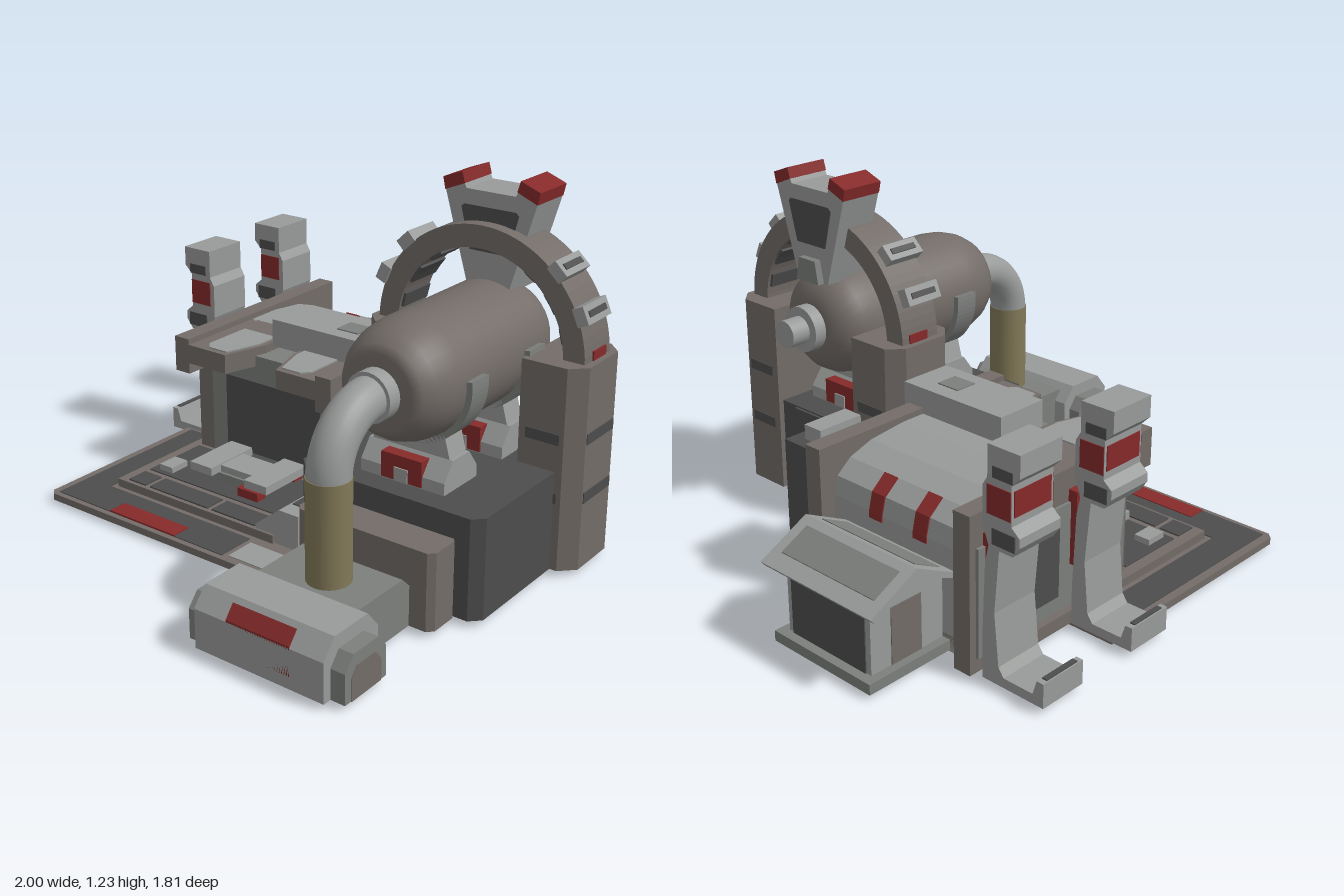
import * as THREE from 'three';

const mat = (name, color) => {
  const m = new THREE.MeshStandardMaterial({ color });
  m.name = name;
  return m;
};

export function createModel() {
  const root = new THREE.Group();
  root.name = 'industrialPlant';
  const brown = mat('warmGrey', 0x736c68), dark = mat('darkGrey', 0x4d4d4d), mid = mat('midGrey', 0x7d7f7d),
    light = mat('lightGrey', 0x989b99), red = mat('red', 0x862a2a), tan = mat('tan', 0x827958);

  const add = (name, geo, m) => {
    const mesh = new THREE.Mesh(geo, m);
    mesh.name = name;
    root.add(mesh);
    return mesh;
  };
  // Box from its limits
  const box = (name, m, x0, x1, y0, y1, z0, z1) =>
    add(name, new THREE.BoxGeometry(x1 - x0, y1 - y0, z1 - z0)
      .translate((x0 + x1) / 2, (y0 + y1) / 2, (z0 + z1) / 2), m);
  const extrude = (shape, depth) => new THREE.ExtrudeGeometry(shape, { depth, bevelEnabled: false, curveSegments: 20 });
  const poly = (pts) => new THREE.Shape(pts.map(([a, b]) => new THREE.Vector2(a, b)));
  // Prisms: outline in (z, y) along x, in (x, z) along y, in (x, y) along z
  const prismX = (name, m, pts, x0, x1) =>
    add(name, extrude(poly(pts.map(([z, y]) => [-z, y])), x1 - x0).rotateY(Math.PI / 2).translate(x0, 0, 0), m);
  const prismY = (name, m, pts, y0, y1) =>
    add(name, extrude(poly(pts.map(([x, z]) => [x, -z])), y1 - y0).rotateX(-Math.PI / 2).translate(0, y0, 0), m);
  const prismZ = (name, m, pts, z0, z1) => add(name, extrude(poly(pts), z1 - z0).translate(0, 0, z0), m);
  const chamfered = (x0, x1, z0, z1, c) => [[x0 + c, z0], [x1 - c, z0], [x1, z0 + c], [x1, z1 - c],
    [x1 - c, z1], [x0 + c, z1], [x0, z1 - c], [x0, z0 + c]];
  // Turned part along x, profile given as (x, radius)
  const turned = (name, m, pts, y, z) =>
    add(name, new THREE.LatheGeometry(pts.map(([x, r]) => new THREE.Vector2(r, x)), 36)
      .rotateZ(-Math.PI / 2).translate(0, y, z), m);
  const rod = (name, m, x0, x1, r) =>
    add(name, new THREE.CylinderGeometry(r, r, x1 - x0, 24).rotateZ(Math.PI / 2).translate((x0 + x1) / 2, AY, AZ), m);
  const AY = 0.7, AZ = 0.495;

  // Machine base with its end panel and lamps
  prismY('machineBase', dark, chamfered(-0.4, 0.29, 0.145, 0.83, 0.035), 0.02, 0.36);
  prismX('endHopper', dark, [[0.66, 0.28], [0.62, 0.355], [0.37, 0.355], [0.33, 0.28]], 0.28, 0.3);
  box('endPanel', brown, 0.285, 0.298, 0.05, 0.21, 0.38, 0.6);
  for (const s of [-1, 1]) box('endLamp', light, 0.285, 0.298, 0.08, 0.19, AZ + s * 0.165 - 0.022, AZ + s * 0.165 + 0.022);
  prismY('sideBlock', brown, chamfered(-0.525, -0.39, 0.24, 0.75, 0.02), 0.02, 0.28);

  // Tank, end fittings and outlet pipe
  turned('tank', brown, [[-0.45, 0], [-0.45, 0.12], [-0.43, 0.148], [-0.39, 0.172], [-0.34, 0.188], [-0.28, 0.195],
    [0.18, 0.195], [0.23, 0.185], [0.27, 0.163], [0.3, 0.13], [0.315, 0.085], [0.315, 0]], AY, AZ);
  rod('inletCollar', light, -0.5, -0.44, 0.08);
  rod('outletCollar', light, 0.3, 0.36, 0.08);
  rod('outletNozzle', light, 0.36, 0.43, 0.048);
  add('pipeElbow', new THREE.TorusGeometry(0.19, 0.068, 20, 20, Math.PI / 2)
    .rotateZ(Math.PI / 2).translate(-0.495, 0.51, AZ), light);
  add('pipe', new THREE.CylinderGeometry(0.07, 0.07, 0.34, 28).translate(-0.685, 0.35, AZ), tan);

  // Tank cradles
  for (const x of [-0.23, 0.1]) {
    prismZ('cradleFoot', light, [[x - 0.09, 0.36], [x + 0.09, 0.36], [x + 0.09, 0.4], [x + 0.045, 0.46],
      [x - 0.045, 0.46], [x - 0.09, 0.4]], 0.34, 0.65);
    prismX('cradleNeck', light, [[0.64, 0.45], [0.61, 0.56], [0.38, 0.56], [0.35, 0.45]], x - 0.045, x + 0.045);
    const strap = new THREE.Shape();
    strap.absarc(0, 0, 0.215, Math.PI * 0.96, Math.PI * 2.04, false);
    strap.absarc(0, 0, 0.185, Math.PI * 2.04, Math.PI * 0.96, true);
    add('cradleStrap', extrude(strap, 0.09).rotateY(Math.PI / 2).translate(x - 0.045, AY, AZ), mid);
    for (const s of [-1, 1]) box('cradleMark', red, x + s * 0.07 - 0.025, x + s * 0.07 + 0.025, 0.365, 0.45, 0.42, 0.57);
    box('cradleLatch', light, x - 0.1, x + 0.1, 0.365, 0.41, 0.47, 0.52);
  }

  // Columns, with dark bands, either side of the tank
  for (const s of [-1, 1]) {
    const o = AZ + s * 0.41, i = AZ + s * 0.2, c = o - s * 0.05;
    prismY('column', brown, [[0.03, i], [0.31, i], [0.31, c], [0.26, o], [0.08, o], [0.03, c]], 0.02, 0.71);
    for (const y of [0.27, 0.47]) {
      box('columnBand', dark, 0.085, 0.255, y - 0.018, y + 0.018, o - 0.003, o + 0.003);
      for (const x of [0.03, 0.31]) box('columnBand', dark, x - 0.003, x + 0.003, y - 0.018, y + 0.018,
        AZ + s * 0.285 - 0.06, AZ + s * 0.285 + 0.06);
    }
    box('archFootMark', red, 0.14, 0.22, 0.7, 0.74, AZ + s * 0.383 - 0.006, AZ + s * 0.383 + 0.006);
  }

  // Arch with outer clips and inner teeth
  const ring = new THREE.Shape();
  ring.absarc(0, 0, 0.385, 0, Math.PI, false);
  ring.absarc(0, 0, 0.31, Math.PI, 0, true);
  add('arch', extrude(ring, 0.16).rotateY(Math.PI / 2).translate(0.09, AY, AZ), brown);
  const onArch = (name, m, a, r, radial, tangent, x0, x1) =>
    add(name, new THREE.BoxGeometry(x1 - x0, radial, tangent).translate(0, r, 0)
      .rotateX(Math.PI / 2 - a).translate((x0 + x1) / 2, AY, AZ), m);
  for (const d of [24, 46, 134, 156]) {
    const a = d * Math.PI / 180;
    onArch('archClip', light, a, 0.4, 0.04, 0.06, 0.08, 0.225);
    onArch('archClipSlot', dark, a, 0.42, 0.008, 0.02, 0.1, 0.205);
    for (const e of [-0.16, 0.16]) onArch('archTooth', dark, a + e, 0.308, 0.016, 0.05, 0.1, 0.24);
  }

  // Forked keystone with red tips
  prismX('keystone', light, [[-0.075, 0.86], [0.075, 0.86], [0.168, 1.17], [0.1, 1.2], [0.09, 1.18],
    [-0.09, 1.18], [-0.1, 1.2], [-0.168, 1.17]].map(([z, y]) => [AZ + z, y]), 0.14, 0.295);
  for (const s of [-1, 1]) {
    prismX('keystoneTip', red, [[0.168, 1.165], [0.177, 1.205], [0.106, 1.232], [0.095, 1.195]]
      .map(([z, y]) => [AZ + s * z, y]), 0.138, 0.297);
  }
  for (const x of [0.137, 0.292]) {
    prismX('keystonePanel', dark, [[0.565, 0.985], [0.6, 1.12], [0.59, 1.13], [0.4, 1.13], [0.39, 1.12], [0.425, 0.985]], x, x + 0.006);
  }
  prismX('keystoneBracket', mid, [[0.55, 0.86], [0.535, 0.94], [0.455, 0.94], [0.44, 0.86]], 0.25, 0.32);

  // Pipe pedestal and cross housing
  prismZ('pipePedestal', mid, [[-0.78, 0.02], [-0.51, 0.02], [-0.51, 0.14], [-0.56, 0.19], [-0.78, 0.19]], 0.3, 0.67);
  const housing = (k) => [[-1, 0.02], [-0.75, 0.02], [-0.75, 0.15], [-0.8, 0.21], [-0.95, 0.21], [-1, 0.15]]
    .map(([x, y]) => [-0.875 + (x + 0.875) * k, 0.02 + (y - 0.02) * k]);
  prismZ('housing', light, housing(1), 0.25, 0.72);
  prismZ('housingEnds', mid, housing(0.76), 0.2, 0.77);
  prismZ('housingEndPanels', brown, housing(0.55), 0.197, 0.773);
  box('housingMark', red, -1, -0.994, 0.06, 0.14, 0.37, 0.6);
  prismZ('housingMarkTop', red, [[-1, 0.14], [-0.9985, 0.15], [-0.963, 0.193], [-0.967, 0.198], [-1, 0.156]], 0.37, 0.6);

  // Yard slab and stepped platform
  prismY('yardSlab', brown, [[-0.58, 0.16], [0.3, 0.16], [0.3, -0.83], [-0.56, -0.83], [-0.58, -0.81]], 0.01, 0.035);
  box('slabPanel', dark, -0.56, -0.42, 0.033, 0.038, -0.8, -0.04);
  box('slabPanelBack', dark, -0.42, 0.12, 0.033, 0.038, -0.8, -0.69);
  box('slabMark', red, -0.56, -0.49, 0.035, 0.041, -0.55, -0.25);
  box('slabLightPanel', light, -0.55, -0.44, 0.033, 0.038, -0.02, 0.13);
  box('platform', brown, -0.4, 0.66, 0.02, 0.065, -0.67, 0.04);
  for (const [a, b] of [[-0.63, -0.55], [-0.53, -0.26], [-0.24, -0.05]]) box('platformPad', dark, -0.385, -0.305, 0.063, 0.07, a, b);
  box('platformPadInner', dark, -0.28, -0.02, 0.063, 0.069, -0.63, -0.05);
  box('platformBox', light, -0.26, -0.18, 0.065, 0.09, -0.6, -0.54);
  // Small loading table
  box('tableFoot', mid, -0.2, -0.06, 0.065, 0.1, -0.38, -0.16);
  for (const z of [-0.42, -0.17]) box('tableTop', light, -0.24, -0.02, 0.1, 0.13, z - 0.05, z + 0.05);
  box('tableBridge', light, -0.19, -0.07, 0.1, 0.125, -0.4, -0.16);
  for (const x of [-0.23, -0.03]) box('tableMark', red, x - 0.022, x + 0.022, 0.065, 0.1, -0.24, -0.15);
  // Wedge block beside the machine base
  prismX('wedgeBlock', light, [[-0.04, 0.03], [0.14, 0.03], [0.14, 0.16], [0.06, 0.16], [-0.04, 0.08]], -0.39, 0.0);
  box('wedgePanel', dark, -0.33, -0.18, 0.158, 0.164, 0.07, 0.13);
  box('wedgeMark', red, -0.16, -0.11, 0.158, 0.164, 0.08, 0.13);

  // Hall: end walls, curved roof body and left side
  for (const [a, b] of [[0, 0.065], [-0.635, -0.57]]) prismZ('hallEndWall', brown,
    [[-0.12, 0.4], [0, 0.4], [0, 0.01], [0.715, 0.01], [0.715, 0.53], [-0.12, 0.53]], a, b);
  prismZ('hallBody', light, [[0.22, 0.01], [0.66, 0.01], [0.66, 0.36], [0.645, 0.42], [0.59, 0.465], [0.5, 0.495],
    [0.36, 0.51], [0.22, 0.51]], -0.57, 0);
  prismX('hallKeel', dark, [[-0.53, 0.015], [-0.28, 0], [-0.03, 0.015]], 0.2, 0.66);
  box('hallLeftSide', mid, 0, 0.22, 0.02, 0.48, -0.57, 0);
  box('hallLeftPanel', dark, -0.004, 0.002, 0.1, 0.38, -0.5, -0.07);
  for (const z of [-0.38, -0.19]) prismZ('roofStripe', red,
    [[0.66, 0.34], [0.664, 0.34], [0.664, 0.361], [0.649, 0.423], [0.594, 0.469], [0.59, 0.465], [0.645, 0.42], [0.66, 0.36]],
    z - 0.028, z + 0.028);
  // Overhanging roof wings, mirrored, and the roof duct
  for (const f of [(z) => z, (z) => -0.57 - z]) {
    prismY('roofWing', brown, [[-0.12, -0.57], [0.23, -0.57], [0.23, -0.35], [0.04, -0.35], [-0.12, -0.4]].map(([x, z]) => [x, f(z)]), 0.44, 0.51);
    prismY('roofWingPanel', light, [[-0.1, -0.49], [-0.07, -0.515], [0.12, -0.515], [0.12, -0.37], [0.03, -0.37],
      [-0.1, -0.41]].map(([x, z]) => [x, f(z)]), 0.508, 0.515);
  }
  box('roofDuct', light, 0.075, 0.27, 0.5, 0.6, -0.345, 0.085);
  box('roofDuctVent', mid, 0.13, 0.21, 0.598, 0.604, -0.1, -0.01);

  // Rear wall panels behind the grips
  box('rearWall', mid, 0.02, 0.69, 0.06, 0.42, -0.645, -0.63);
  box('rearPanel', dark, 0.34, 0.5, 0.12, 0.36, -0.65, -0.643);
  for (const x of [0.22, 0.595]) box('rearMark', red, x - 0.07, x + 0.065, 0.21, 0.46, -0.668, -0.635);

  // Grips standing along the rear
  const grip = [[-0.69, 0.77], [-0.69, 0.67], [-0.672, 0.64], [-0.672, 0.52], [-0.695, 0.46], [-0.682, 0.4], [-0.672, 0.15],
    [-0.672, 0.02], [-0.905, 0.02], [-0.905, 0.1], [-0.88, 0.1], [-0.865, 0.052], [-0.755, 0.052], [-0.735, 0.08],
    [-0.718, 0.25], [-0.735, 0.455], [-0.785, 0.455], [-0.81, 0.49], [-0.81, 0.52], [-0.78, 0.545], [-0.78, 0.67],
    [-0.81, 0.7], [-0.81, 0.77]];
  for (const x of [0.132, 0.53]) {
    prismX('grip', light, grip, x, x + 0.172);
    for (const side of [x - 0.003, x + 0.169]) {
      box('gripMark', red, side, side + 0.006, 0.56, 0.65, -0.779, -0.69);
      box('gripShade', dark, side, side + 0.006, 0.47, 0.52, -0.795, -0.71);
      box('gripShade', dark, side, side + 0.006, 0.675, 0.71, -0.785, -0.71);
    }
    box('gripBackMark', red, x + 0.01, x + 0.162, 0.57, 0.65, -0.783, -0.777);
    box('gripToeLine', dark, x + 0.02, x + 0.152, 0.098, 0.104, -0.9, -0.882);
  }

  // Dark cabinet at the front of the hall
  box('cabinet', dark, 0.422, 0.685, 0.01, 0.495, 0.06, 0.2);
  box('cabinetCap', light, 0.47, 0.64, 0.49, 0.545, 0.08, 0.155);

  // Gabled annex with thin roof
  prismZ('annexWalls', light, [[0.65, 0.02], [0.95, 0.02], [0.95, 0.285], [0.82, 0.345], [0.72, 0.3], [0.65, 0.28]], -0.47, -0.11);
  box('annexFloor', mid, 0.65, 0.985, 0.015, 0.05, -0.5, -0.08);
  box('annexDoor', dark, 0.947, 0.954, 0.05, 0.27, -0.45, -0.13);
  for (const z of [-0.473, -0.113]) box('annexSidePanel', brown, 0.75, 0.87, 0.05, 0.24, z, z + 0.006);
  prismZ('annexRoof', light, [[0.655, 0.27], [0.66, 0.29], [0.82, 0.37], [1, 0.28], [0.985, 0.262], [0.82, 0.342]], -0.53, -0.05);
  prismZ('annexRoofPanel', mid, [[0.69, 0.304], [0.79, 0.354], [0.79, 0.358], [0.69, 0.308]], -0.49, -0.09);
  prismZ('annexRoofPanel', mid, [[0.85, 0.354], [0.95, 0.304], [0.95, 0.308], [0.85, 0.358]], -0.49, -0.09);

  return root;
}
